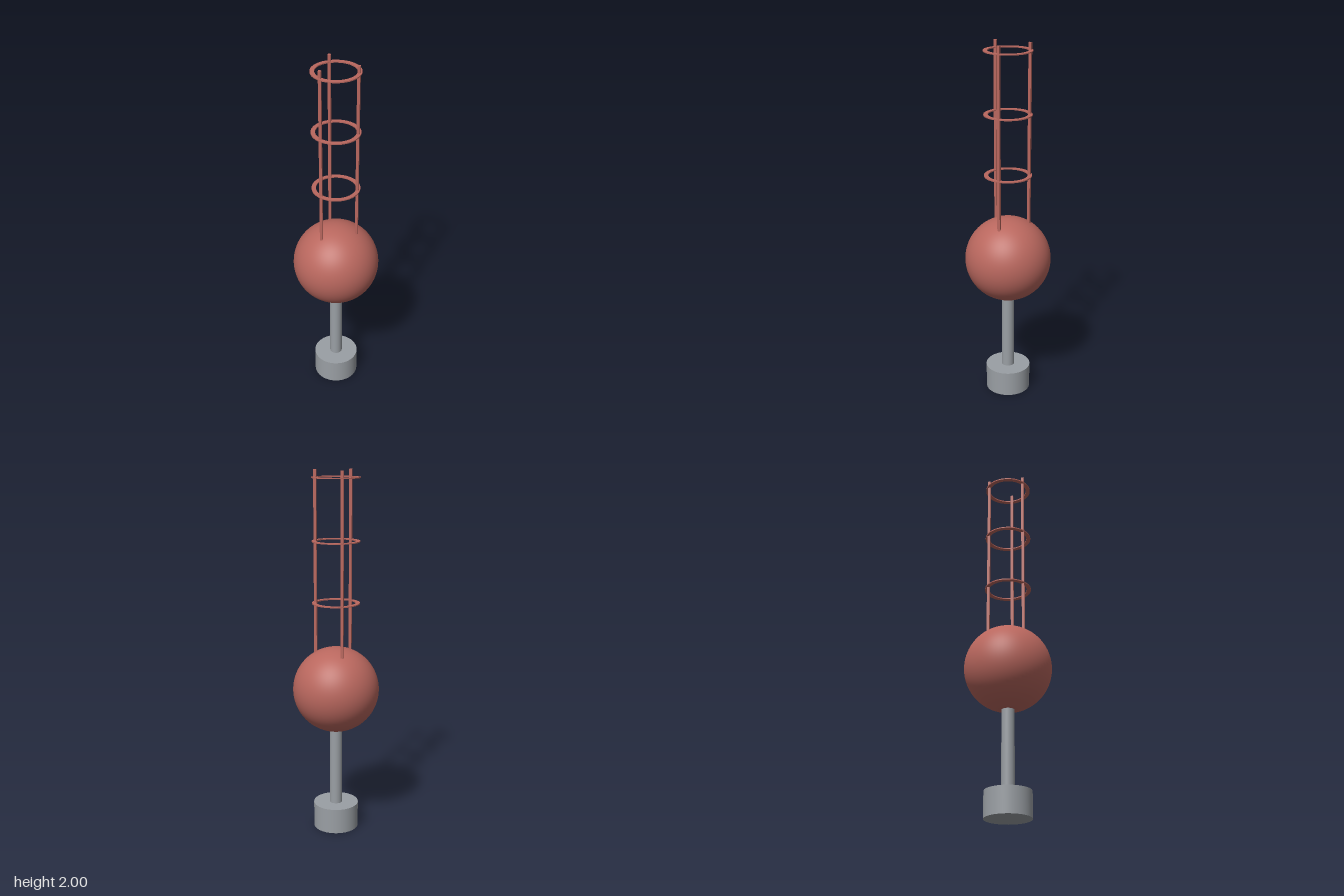
import * as THREE from 'three';

export function createModel() {
  const model = new THREE.Group();
  const red = new THREE.MeshStandardMaterial({ color: 0xb9675e });
  red.name = 'dull red';
  const grey = new THREE.MeshStandardMaterial({ color: 0x9a9fa4 });
  grey.name = 'steel grey';

  const add = (name, geometry, material, x, y, z) => {
    const mesh = new THREE.Mesh(geometry, material);
    mesh.name = name;
    mesh.position.set(x, y, z);
    model.add(mesh);
    return mesh;
  };

  // Pedestal and stem
  add('base', new THREE.CylinderGeometry(0.125, 0.125, 0.142, 64), grey, 0, 0.071, 0);
  add('stem', new THREE.CylinderGeometry(0.035, 0.035, 0.5, 48), grey, 0, 0.39, 0);

  // Ball
  add('ball', new THREE.SphereGeometry(0.237, 64, 48), red, 0, 0.812, 0);

  // Three square rods rising from the ball
  const rodBottom = 0.99, rodHeight = 2 - rodBottom;
  for (let i = 0; i < 3; i++) {
    const a = (i * Math.PI * 2) / 3;
    add('rod', new THREE.BoxGeometry(0.015, rodHeight, 0.015), red,
      0.114 * Math.cos(a), rodBottom + rodHeight / 2, 0.114 * Math.sin(a));
  }

  // Flat hoops around the rods
  const annulus = new THREE.Shape().absarc(0, 0, 0.129, 0, Math.PI * 2, false);
  annulus.holes.push(new THREE.Path().absarc(0, 0, 0.106, 0, Math.PI * 2, true));
  const hoop = new THREE.ExtrudeGeometry(annulus, { depth: 0.006, bevelEnabled: false, curveSegments: 48 });
  hoop.rotateX(-Math.PI / 2).translate(0, -0.003, 0);
  for (const y of [1.295, 1.628, 1.96]) add('hoop', hoop, red, 0, y, 0);

  return model;
}
